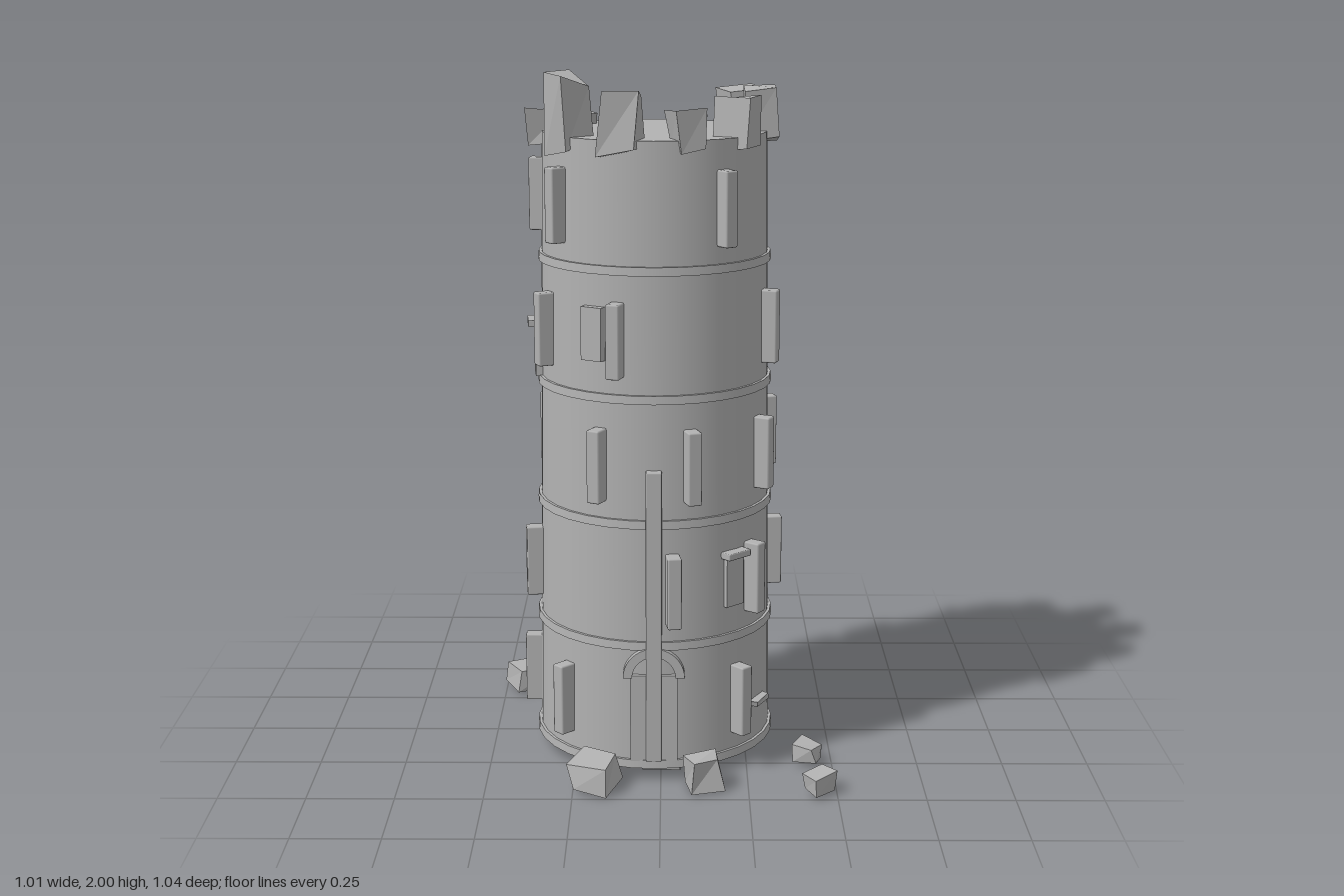
import * as THREE from 'three';
import { RoundedBoxGeometry } from 'three/addons/geometries/RoundedBoxGeometry.js';

const CX = -0.02, CZ = 0.02; // tower axis
const TIER = 0.357, BASE = 0.05;
const rad = THREE.MathUtils.degToRad;

export function createModel() {
  const root = new THREE.Group();
  const stone = new THREE.MeshStandardMaterial({ color: 0xb2b2b2 });
  stone.name = 'grey stone';
  const rough = stone.clone();
  rough.name = 'grey broken stone';
  rough.flatShading = true;

  const tower = new THREE.Group();
  tower.name = 'tower';
  tower.position.set(CX, 0, CZ);
  root.add(tower);

  function add(parent, name, geo, x, y, z, mat = stone) {
    const m = new THREE.Mesh(geo, mat);
    m.name = name;
    m.position.set(x, y, z);
    parent.add(m);
    return m;
  }
  // Places a part on the wall at an angle, its +z pointing outward
  function onWall(name, geo, deg, r, y, mat) {
    const a = rad(deg);
    const m = add(tower, name, geo, r * Math.cos(a), y, r * Math.sin(a), mat);
    m.rotation.y = Math.PI / 2 - a;
    return m;
  }

  let seed = 11;
  const rand = () => {
    seed = (seed * 16807) % 2147483647;
    return seed / 2147483647 - 0.5;
  };
  // Box whose eight corners are pushed about
  function chunk(w, h, d, jitter = 0.3) {
    const g = new THREE.BoxGeometry(w, h, d).toNonIndexed();
    const p = g.attributes.position, shift = {};
    for (let i = 0; i < p.count; i++) {
      const k = [p.getX(i) > 0, p.getY(i) > 0, p.getZ(i) > 0].join();
      shift[k] ??= [rand() * w * jitter, rand() * h * jitter, rand() * d * jitter];
      const s = shift[k];
      p.setXYZ(i, p.getX(i) + s[0], p.getY(i) + s[1], p.getZ(i) + s[2]);
    }
    g.computeVertexNormals();
    return g;
  }

  // Wall drums and the ledges between them
  const wallR = (y) => 0.344 - 0.0135 * (y - 0.04);
  for (let i = 0; i < 5; i++) {
    const y0 = BASE + i * TIER, y1 = i === 4 ? 1.83 : y0 + TIER;
    add(tower, 'wallDrum', new THREE.CylinderGeometry(wallR(y1), wallR(y0), y1 - y0, 32), 0, (y0 + y1) / 2, 0);
    const r = wallR(y0) + 0.01;
    add(tower, 'ledge', new THREE.CylinderGeometry(r - 0.002, r, 0.024, 32), 0, y0, 0);
  }

  // Upright buttress blocks, staggered from tier to tier
  const buttressAngles = [
    [46, 136, 181, 270, 315],
    [36, 81, 171, 215, 306, 351],
    [27, 72, 117, 206, 252, 342],
    [18, 108, 154, 243, 288],
    [54, 143, 189, 279, 325],
  ];
  const block = new RoundedBoxGeometry(0.04, 0.21, 0.06, 1, 0.005);
  buttressAngles.forEach((list, i) => {
    for (const a of list) onWall('buttress', block, a, 0.358 - 0.006 * i, 0.215 + i * TIER);
  });

  // Tall pilasters rising from the foot
  for (const [deg, top, w] of [[90, 0.92, 0.045], [330, 0.66, 0.04], [207, 0.74, 0.04]]) {
    onWall('pilaster', new RoundedBoxGeometry(w, top - 0.06, 0.04, 1, 0.004), deg, 0.337, (top + 0.06) / 2);
  }

  // Door with a half round hood
  onWall('door', new THREE.BoxGeometry(0.135, 0.26, 0.02), 90, 0.338, 0.19);
  const hood = new THREE.Shape();
  hood.absarc(0, 0, 0.088, 0, Math.PI, false);
  hood.absarc(0, 0, 0.062, Math.PI, 0, true);
  const hoodGeo = new THREE.ExtrudeGeometry(hood, { depth: 0.035, bevelEnabled: false, curveSegments: 10 });
  onWall('doorHood', hoodGeo, 90, 0.32, 0.315);

  // Window slabs with lintels
  for (const [deg, y, lintel] of [[48, 0.575, true], [120, 1.3, false], [174, 1.205, true], [288, 0.855, true]]) {
    onWall('window', new THREE.BoxGeometry(0.065, 0.15, 0.03), deg, 0.332, y);
    if (lintel) onWall('lintel', new RoundedBoxGeometry(0.085, 0.02, 0.05, 1, 0.003), deg, 0.342, y + 0.08);
  }

  // Loose slabs lodged in the wall: angle, height, width, thickness
  for (const [deg, y, w, h] of [[27, 0.175, 0.09, 0.018], [240, 0.13, 0.07, 0.018], [290, 0.17, 0.09, 0.03]]) {
    onWall('lodgedSlab', chunk(w, h, 0.06), deg, 0.335, y, rough);
  }

  // Broken battlements: angle, radius, top height, width
  const merlons = [
    [-71, 0.295, 1.845, 0.09], [-37, 0.315, 1.925, 0.095], [-2, 0.3, 1.95, 0.095],
    [36, 0.29, 1.93, 0.095], [71, 0.29, 1.91, 0.09], [108, 0.295, 1.95, 0.095],
    [145, 0.295, 1.985, 0.1], [180, 0.305, 1.885, 0.09], [217, 0.295, 1.87, 0.1],
  ];
  for (const [deg, r, top, w] of merlons) {
    const h = top - 1.8;
    const m = onWall('merlon', chunk(w, h, 0.1, 0.28), deg, r, 1.8 + h / 2, rough);
    m.rotation.y += rand() * 0.5;
  }

  // Fallen rubble: x, z, size, height, turn
  const rubble = [
    [-0.425, -0.355, 0.11, 0.065, 0.35], [0.235, -0.42, 0.135, 0.055, -0.45],
    [-0.19, 0.42, 0.11, 0.08, -0.3], [0.115, 0.417, 0.09, 0.08, 0.25],
    [0.433, 0.251, 0.065, 0.05, -0.5], [0.45, 0.455, 0.07, 0.05, 0.7],
  ];
  for (const [x, z, s, h, turn] of rubble) {
    add(root, 'rubble', chunk(s, h, s), x, h / 2 + 0.012, z, rough).rotation.y = turn;
  }
  // Flat stones under the foot
  add(root, 'footStone', chunk(0.12, 0.035, 0.09), 0, 0.03, 0.27, rough);
  add(root, 'footStone', chunk(0.1, 0.035, 0.08), 0.08, 0.03, -0.22, rough);

  return root;
}
